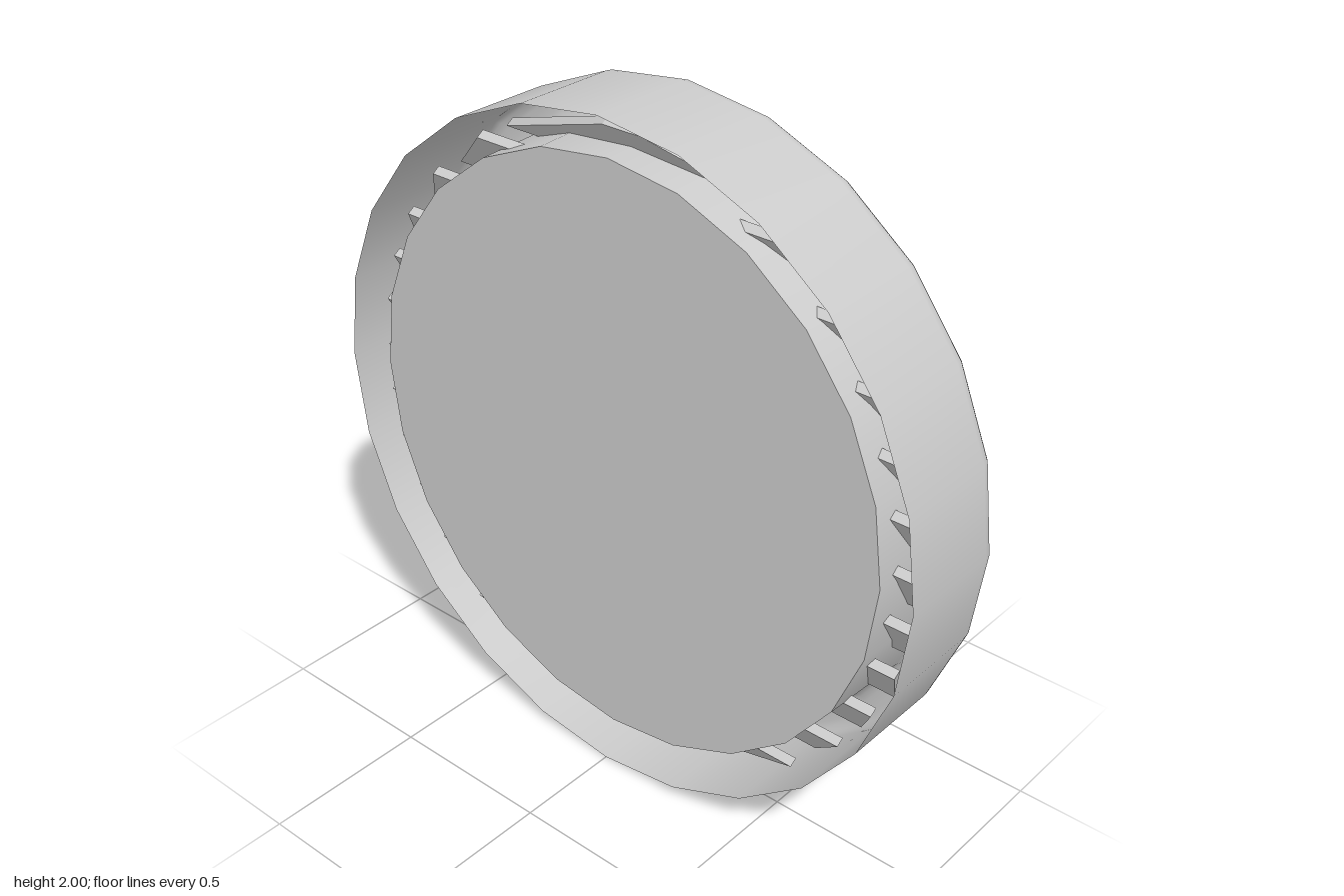
import * as THREE from 'three';

const material = new THREE.MeshStandardMaterial({ color: 0xcccccc });
const sheet = material.clone();
sheet.side = THREE.DoubleSide;
const SIDES = 24, CENTRE_Y = 1, COVER_RADIUS = 0.88, COVER_Z = 0.145;

function add(group, name, geometry, mat) {
  const mesh = new THREE.Mesh(geometry, mat);
  mesh.name = name;
  group.add(mesh);
  return mesh;
}

// Half-width of a slat at height y, ending between the two walls of the housing
function halfWidth(y) {
  const d = y - CENTRE_Y;
  return Math.min(0.94, Math.sqrt(Math.max(0.004, 0.95 ** 2 - d * d)));
}

// Trapezoid plate rising from height y and leaning forward at the top
function slatGeometry(y, rise, lean, thickness) {
  const a = halfWidth(y), b = halfWidth(y + rise), length = Math.hypot(rise, lean);
  const shape = new THREE.Shape([[-a, 0], [a, 0], [b, length], [-b, length]].map(p => new THREE.Vector2(...p)));
  const g = new THREE.ExtrudeGeometry(shape, { depth: thickness, bevelEnabled: false });
  g.rotateX(Math.atan2(lean, rise));
  g.translate(0, y, -0.03);
  return g;
}

export function createModel() {
  const model = new THREE.Group();
  model.name = 'roundLouvreVent';

  // Housing: one thin sheet running up the inner wall, over the back lip and along the outer
  // wall, leaving a channel that is open at the front
  const profile = [
    [COVER_RADIUS, COVER_Z], [0.885, 0], [0.89, -0.135], [0.896, -0.16], [0.91, -0.174], [0.93, -0.18],
    [0.965, -0.18], [0.987, -0.174], [0.997, -0.16], [1, -0.14], [1, 0.18],
  ].map(p => new THREE.Vector2(...p));
  const housing = new THREE.LatheGeometry(profile, SIDES);
  housing.rotateX(Math.PI / 2);
  add(model, 'housing', housing, sheet).position.y = CENTRE_Y;

  // Flat cover closing the front of the inner wall
  const cover = new THREE.CircleGeometry(COVER_RADIUS, SIDES);
  add(model, 'frontCover', cover, sheet).position.set(0, CENTRE_Y, COVER_Z);

  // Sloping slats, their ends passing through the inner wall
  const slats = new THREE.Group();
  slats.name = 'slats';
  for (let i = 0; i < 12; i++) {
    add(slats, 'slat' + (i + 1), slatGeometry(0.123 + i * 0.153, 0.146, 0.1, 0.028), material);
  }
  model.add(slats);
  return model;
}
